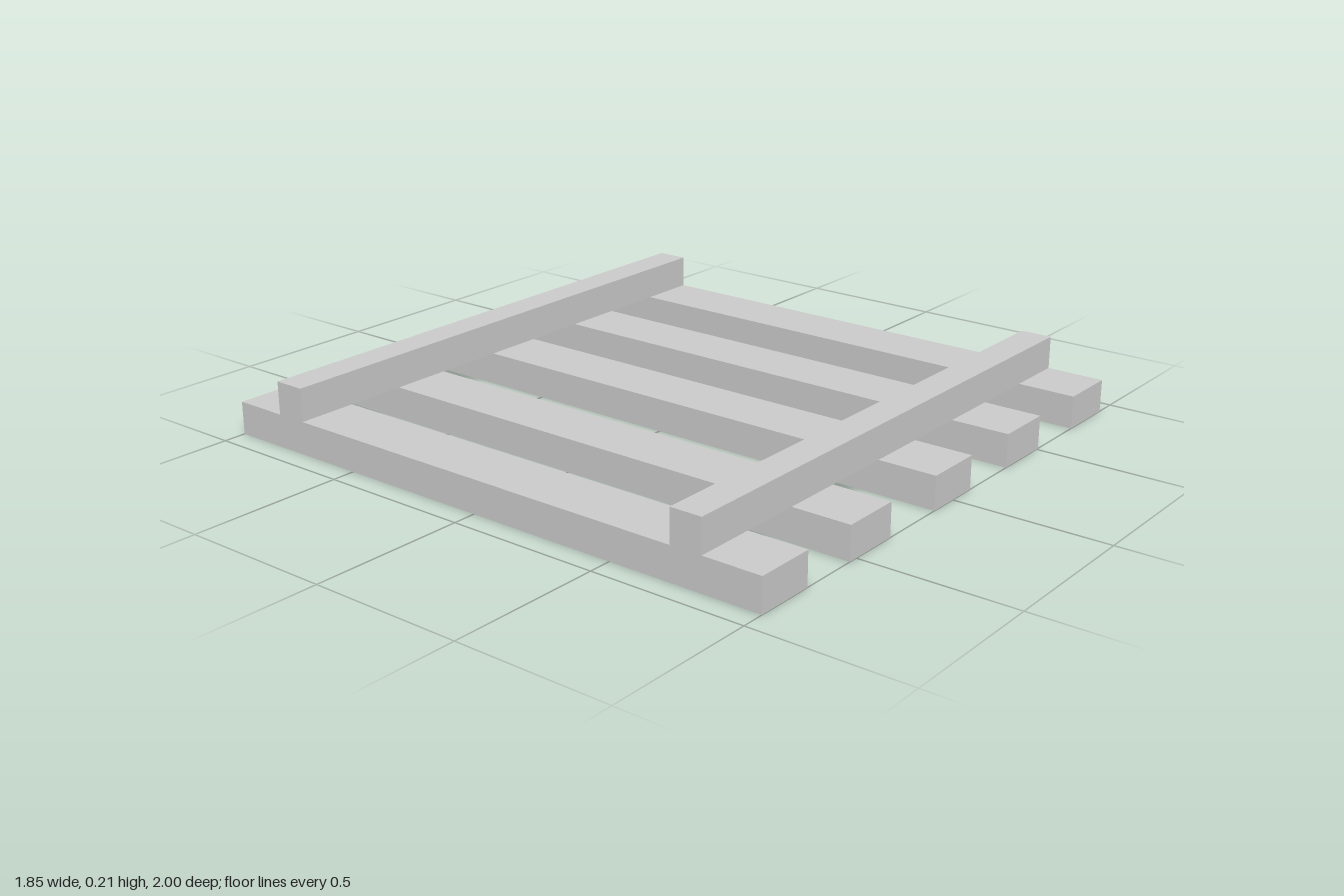
import * as THREE from 'three';

export function createModel() {
  const model = new THREE.Group();
  const material = new THREE.MeshStandardMaterial({ color: 0xcccccc, flatShading: true });
  const thickness = 0.107;

  function addBeam(name, width, depth, x, y, z) {
    const beam = new THREE.Mesh(new THREE.BoxGeometry(width, thickness, depth), material);
    beam.name = name;
    beam.position.set(x, y, z);
    model.add(beam);
  }

  // Five long slats lying on the ground, slightly unevenly spaced
  [-0.826, -0.431, -0.001, 0.41, 0.826].forEach((x, i) =>
    addBeam(`slat${i + 1}`, 0.198, 2, x, thickness / 2, 0));

  // Two cross rails resting on the slats
  addBeam('frontRail', 1.85, 0.104, 0, thickness * 1.5, 0.757);
  addBeam('backRail', 1.85, 0.104, 0, thickness * 1.5, -0.767);

  return model;
}
